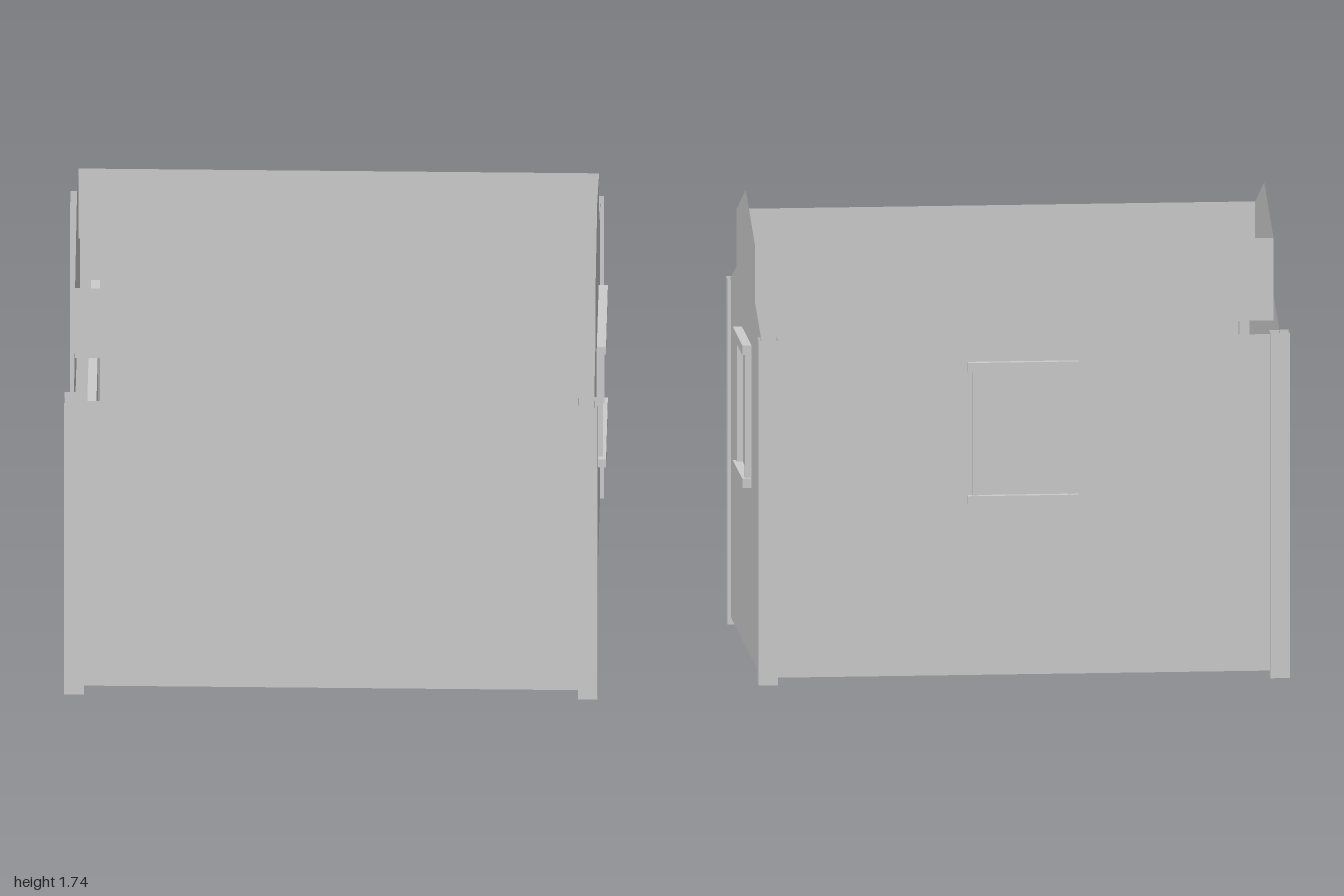
import * as THREE from 'three';

const material = new THREE.MeshStandardMaterial({ color: 0xcccccc, flatShading: true, side: THREE.DoubleSide });

export function createModel() {
  const building = new THREE.Group();
  building.name = 'building';

  const add = (parent, name, geometry) => {
    const mesh = new THREE.Mesh(geometry, material);
    mesh.name = name;
    parent.add(mesh);
    return mesh;
  };
  // Box given by its lower and upper corners
  const box = (parent, name, [x0, y0, z0], [x1, y1, z1]) => {
    const mesh = add(parent, name, new THREE.BoxGeometry(x1 - x0, y1 - y0, z1 - z0));
    mesh.position.set((x0 + x1) / 2, (y0 + y1) / 2, (z0 + z1) / 2);
    return mesh;
  };
  // Thin upright sheet parallel to the front
  const sheet = (name, x0, x1, y0, y1, z) => {
    const mesh = add(building, name, new THREE.PlaneGeometry(x1 - x0, y1 - y0));
    mesh.position.set((x0 + x1) / 2, (y0 + y1) / 2, z);
  };

  const left = 0.96, right = -0.965, depth = 0.685, base = 0.025, eave = 1.288;
  const doorHalf = 0.4, doorTop = 1.07;

  // End walls with stepped gables; one has a door opening
  const gable = (name, x, hasDoor) => {
    const points = [[depth, base], [depth, eave], [0.4, 1.385], [0.4, 1.6], [0, 1.74],
      [-0.4, 1.6], [-0.4, 1.385], [-depth, eave], [-depth, base]];
    if (hasDoor) points.push([-doorHalf, base], [-doorHalf, doorTop], [doorHalf, doorTop], [doorHalf, base]);
    const shape = new THREE.Shape(points.map(p => new THREE.Vector2(...p)));
    add(building, name, new THREE.ShapeGeometry(shape).rotateY(-Math.PI / 2)).position.x = x;
  };
  gable('windowEndWall', left, false);
  gable('doorEndWall', right, true);

  // Long walls, raised roof sides and door recess sides
  for (const [side, s] of [['front', 1], ['back', -1]]) {
    sheet(side + 'Wall', right, left, base, eave, s * depth);
    sheet(side + 'RaisedRoofSide', right, left, 1.29, 1.6, s * 0.4);
    sheet(side + 'DoorRecessSide', right, right + 0.38, base, doorTop, s * doorHalf);
  }

  // Hollow square corner posts
  const postGeometry = new THREE.CylinderGeometry(0.0365 * Math.SQRT2, 0.0365 * Math.SQRT2, 1.295, 4, 1, true, Math.PI / 4);
  for (const x of [-0.964, 0.937])
    for (const z of [-0.672, 0.672])
      add(building, 'cornerPost', postGeometry).position.set(x, 1.295 / 2, z);

  // Window frames, modelled on the +z plane and turned to their walls
  const windowFrame = name => {
    const frame = new THREE.Group();
    frame.name = name;
    box(frame, 'sill', [-0.207, 0.665, 0], [0.207, 0.7, 0.034]);
    box(frame, 'lintel', [-0.207, 1.165, 0], [0.207, 1.2, 0.034]);
    for (const s of [-1, 1])
      box(frame, 'jamb', [s * 0.177 - 0.01, 0.7, -0.006], [s * 0.177 + 0.01, 1.165, 0.022]);
    building.add(frame);
    return frame;
  };
  const endWindow = windowFrame('endWindow');
  endWindow.rotation.y = Math.PI / 2;
  endWindow.position.set(0.961, 0, -0.05);
  const backWindow = windowFrame('backWindow');
  backWindow.rotation.y = Math.PI;
  backWindow.position.set(-0.01, 0, -0.677);

  // Pair of short doors, one slightly ajar
  box(building, 'frontDoor', [-0.92, 0.19, 0], [-0.886, 1.1, 0.4]);
  box(building, 'backDoor', [-0.918, 0.19, -0.408], [-0.884, 1.1, -0.008]).rotation.y = 0.012;

  return building;
}
